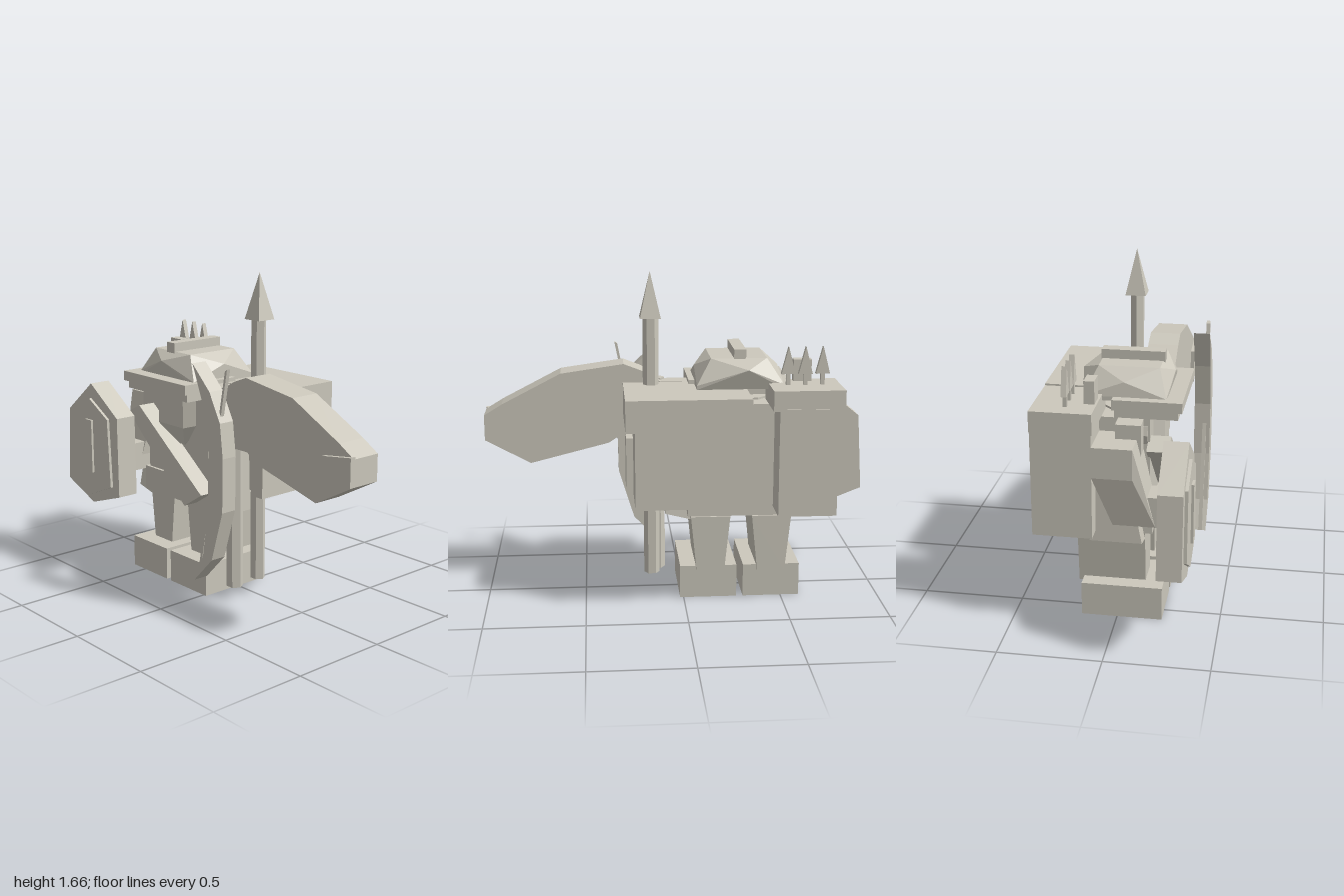
import * as THREE from 'three';
import { ConvexGeometry } from 'three/addons/geometries/ConvexGeometry.js';

export function createModel() {
  const model = new THREE.Group();
  const stone = new THREE.MeshStandardMaterial({ color: 0xccc8bc, flatShading: true });
  stone.name = 'paleStone';

  const add = (name, geometry) => {
    const mesh = new THREE.Mesh(geometry, stone);
    mesh.name = name;
    model.add(mesh);
    return mesh;
  };
  // Box from its limits on each axis
  const box = (name, x0, x1, y0, y1, z0, z1) =>
    add(name, new THREE.BoxGeometry(x1 - x0, y1 - y0, z1 - z0)
      .translate((x0 + x1) / 2, (y0 + y1) / 2, (z0 + z1) / 2));
  // Flat outline in x and y, given thickness along z
  const plate = (name, points, z0, z1) => {
    const shape = new THREE.Shape(points.map(([x, y]) => new THREE.Vector2(x, y)));
    return add(name, new THREE.ExtrudeGeometry(shape, { depth: z1 - z0, bevelEnabled: false })
      .translate(0, 0, z0));
  };
  // Solid around a stack of rectangles [y, x0, x1, z0, z1], plus extra points
  const block = (name, rings, extra = []) => {
    const pts = extra.map((p) => new THREE.Vector3(...p));
    for (const [y, x0, x1, z0, z1] of rings)
      for (const x of [x0, x1]) for (const z of [z0, z1]) pts.push(new THREE.Vector3(x, y, z));
    return add(name, new ConvexGeometry(pts));
  };
  const rod = (name, x, z, y0, y1, r) =>
    add(name, new THREE.CylinderGeometry(r, r, y1 - y0, 6).rotateY(Math.PI / 6)
      .scale(1, 1, 0.9).translate(x, (y0 + y1) / 2, z));

  // Feet and tapered legs
  for (const [x, f] of [[-0.445, -0.45], [-0.135, -0.127]]) {
    box('foot', f - 0.145, f + 0.145, 0, 0.17, -0.175, 0.22);
    block('leg', [[0.145, x - 0.07, x + 0.07, -0.2, 0.13], [0.44, x - 0.1, x + 0.1, -0.2, 0.13]]);
  }

  // Torso, belt and hip guards
  box('torso', -0.53, -0.04, 0.5, 1.02, -0.2, 0.15);
  box('belt', -0.55, -0.02, 0.44, 0.57, -0.19, 0.165);
  for (const side of [1, -1]) {
    const x = (v) => -0.28 + side * (v + 0.28);
    block('hipGuard', [], [
      [-0.11, 0.76, -0.08], [-0.11, 0.76, 0.06], [0.08, 0.79, -0.08], [0.08, 0.79, 0.06],
      [-0.05, 0.4, -0.12], [-0.05, 0.4, 0.13], [0.09, 0.435, -0.12], [0.09, 0.435, 0.13],
    ].map(([a, y, z]) => [x(a), y, z]));
  }
  plate('chestStrap', [[-0.49, 0.925], [-0.585, 0.88], [-0.12, 0.46], [0.015, 0.545]], 0.14, 0.245);

  // Head with tapered jaw
  block('head', [[1.03, -0.38, -0.18, -0.1, 0.2], [0.85, -0.38, -0.18, -0.1, 0.2],
    [1.03, -0.44, -0.11, -0.04, 0.12], [0.87, -0.44, -0.11, -0.04, 0.12],
    [0.75, -0.33, -0.22, 0, 0.16]]);
  for (const x of [-0.505, -0.08])
    add('ear', new THREE.CylinderGeometry(0.055, 0.055, 0.12, 8).rotateX(Math.PI / 2)
      .scale(0.7, 1.1, 1).translate(x, 0.94, 0.08));

  // Faceted helmet with brim and crest
  box('helmetBrim', -0.545, -0.035, 1.06, 1.11, -0.03, 0.3);
  box('visor', -0.53, -0.045, 1.02, 1.07, -0.02, 0.28);
  block('helmet', [[1.09, -0.5, -0.065, -0.17, 0.22], [1.11, -0.5, -0.065, -0.17, 0.22],
    [1.235, -0.42, -0.14, -0.11, 0.18]],
  [[-0.3, 1.19, 0.24], [-0.32, 1.19, -0.2], [-0.065, 1.18, 0.02], [-0.49, 1.18, 0.02]]);
  box('helmetCrest', -0.315, -0.255, 1.22, 1.28, -0.115, 0.19);

  // Big back pack with lid
  box('packBody', -0.28, 0.25, 0.54, 0.95, -0.38, -0.02);
  box('packLid', -0.315, 0.295, 0.93, 1.09, -0.395, 0.03);
  box('packSidePocket', 0.24, 0.285, 0.555, 0.83, -0.1, 0.075);

  // Tall quiver with arrow points
  box('quiver', -0.74, -0.45, 0.49, 1.03, -0.375, -0.09);
  box('quiverLid', -0.77, -0.42, 1.02, 1.12, -0.37, -0.08);
  for (const x of [-0.68, -0.595, -0.51]) {
    plate('arrowPoint', [[x - 0.035, 1.175], [x + 0.035, 1.175], [x, 1.31]], -0.23, -0.205);
    box('arrowShaft', x - 0.01, x + 0.01, 1.1, 1.18, -0.227, -0.208);
  }
  box('shoulderPost', -0.64, -0.55, 1, 1.23, -0.14, -0.09);

  // Right arm and shield
  block('rightArm', [[0.95, -0.745, -0.52, -0.09, 0.1], [0.8, -0.745, -0.55, -0.09, 0.1],
    [0.55, -0.7, -0.57, 0, 0.2]]);
  box('rightHand', -0.7, -0.56, 0.55, 0.7, 0.08, 0.26);
  box('rightShoulder', -0.62, -0.5, 0.86, 1.02, 0, 0.12);
  plate('shield', [[-0.765, 1.015], [-0.975, 0.845], [-1, 0.44], [-0.77, 0.35], [-0.53, 0.43], [-0.535, 0.86]],
    0.245, 0.36);
  plate('shieldPanel', [[-0.765, 0.935], [-0.915, 0.845], [-0.935, 0.5], [-0.77, 0.4], [-0.585, 0.475], [-0.605, 0.845]],
    0.355, 0.375);
  box('shieldBoss', -0.79, -0.735, 0.53, 0.82, 0.37, 0.387);

  // Left arm and its wide pauldron
  box('leftShoulder', -0.05, 0.1, 0.93, 1.09, 0.04, 0.135);
  plate('pauldron', [[0.05, 0.82], [0.05, 1.06], [0.2, 1.15], [0.29, 1.185], [0.61, 1.14], [0.91, 0.985],
    [1, 0.93], [1, 0.8], [0.77, 0.675], [0.37, 0.775], [0.3, 0.82]], 0.035, 0.19);
  plate('pauldronTip', [[0.825, 0.915], [1, 0.94], [1, 0.8], [0.825, 0.735]], 0.18, 0.21);

  // Bow and string
  plate('bow', [[0.1, 1.25], [0.225, 1.13], [0.3, 0.99], [0.32, 0.82], [0.315, 0.55], [0.235, 0.29], [0.1, 0.15],
    [0.17, 0.3], [0.21, 0.55], [0.215, 0.83], [0.18, 1.05]], 0.28, 0.362);
  plate('bowString', [[0.1, 0.15], [0.125, 0.2], [0.33, 1.25], [0.315, 1.24]], 0.323, 0.343);

  // Spear and staff
  rod('spearShaft', 0.155, -0.015, 0.085, 1.45, 0.04);
  add('spearPoint', new THREE.ConeGeometry(0.073, 0.23, 4).rotateY(Math.PI / 4).translate(0.157, 1.545, -0.018));
  rod('staff', 0.125, 0.117, 0.065, 1.1, 0.046);

  return model;
}
